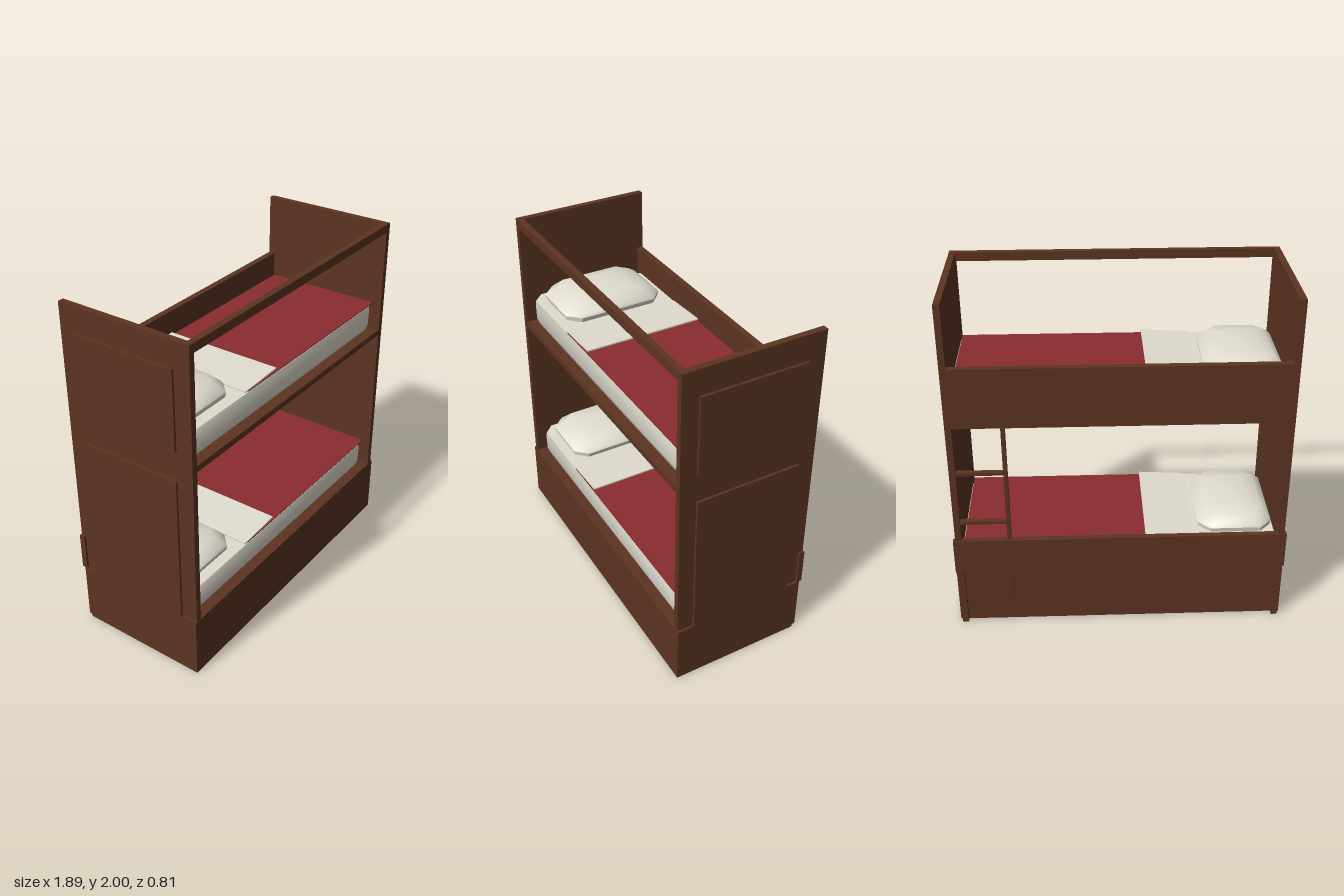
import * as THREE from 'three';
import { toCreasedNormals } from 'three/addons/utils/BufferGeometryUtils.js';

// Stack of corner-cut rectangles: each level is [y, halfX, halfZ, cornerCut]
function loft(levels, crease) {
  const pos = [], index = [], n = 8;
  for (const [y, hx, hz, c] of levels) {
    const ring = [
      [hx, -hz + c], [hx, hz - c], [hx - c, hz], [-hx + c, hz],
      [-hx, hz - c], [-hx, -hz + c], [-hx + c, -hz], [hx - c, -hz],
    ];
    for (const [x, z] of ring) pos.push(x, y, z);
  }
  const last = (levels.length - 1) * n;
  const bottom = levels.length * n, top = bottom + 1;
  pos.push(0, levels[0][0], 0, 0, levels[levels.length - 1][0], 0);
  for (let j = 0; j < n; j++) {
    const k = (j + 1) % n;
    for (let r = 0; r < last; r += n) {
      index.push(r + j, r + n + j, r + k, r + k, r + n + j, r + n + k);
    }
    index.push(bottom, j, k, top, last + k, last + j);
  }
  const g = new THREE.BufferGeometry();
  g.setAttribute('position', new THREE.Float32BufferAttribute(pos, 3));
  g.setIndex(index);
  return toCreasedNormals(g, crease);
}

export function createModel() {
  const wood = new THREE.MeshStandardMaterial({ color: 0x5c3422 });
  const linen = new THREE.MeshStandardMaterial({ color: 0xe0dccf });
  const red = new THREE.MeshStandardMaterial({ color: 0x8a2c31 });
  wood.name = 'darkWood';
  linen.name = 'linen';
  red.name = 'redBlanket';

  const model = new THREE.Group();
  model.name = 'bunkBed';

  function add(parent, name, geometry, material) {
    const mesh = new THREE.Mesh(geometry, material);
    mesh.name = name;
    parent.add(mesh);
    return mesh;
  }
  // Box given by its minimum and maximum on each axis
  function box(parent, name, material, x0, x1, y0, y1, z0, z1) {
    const mesh = add(parent, name, new THREE.BoxGeometry(x1 - x0, y1 - y0, z1 - z0), material);
    mesh.position.set((x0 + x1) / 2, (y0 + y1) / 2, (z0 + z1) / 2);
    return mesh;
  }

  // End walls with raised outer panels
  for (const s of [-1, 1]) {
    const end = new THREE.Group();
    end.name = s > 0 ? 'leftEnd' : 'rightEnd';
    model.add(end);
    const slab = (name, xa, xb, y0, y1, z0, z1) =>
      box(end, name, wood, Math.min(s * xa, s * xb), Math.max(s * xa, s * xb), y0, y1, z0, z1);
    slab('endWall', 0.895, 0.93, 0, 2, -0.4, 0.4);
    slab('upperPanel', 0.93, 0.943, 1.405, 1.853, -0.305, 0.305);
    slab('lowerPanel', 0.93, 0.943, 0.36, 1.23, -0.305, 0.305);
    slab('basePanel', 0.93, 0.943, 0, 0.36, -0.37, 0.4);
  }

  // Boards and rails between the ends
  box(model, 'topFrontRail', wood, -0.895, 0.895, 1.95, 2, 0.365, 0.4);
  box(model, 'frontBaseBoard', wood, -0.943, 0.943, 0, 0.36, 0.37, 0.403);
  box(model, 'upperBackBoard', wood, -0.895, 0.895, 1.3, 1.645, -0.4, -0.363);
  box(model, 'lowerBackBoard', wood, -0.943, 0.943, 0.36, 0.58, -0.404, -0.37);
  box(model, 'backBasePanel', wood, -0.895, 0.895, 0, 0.36, -0.37, -0.34);

  // Ladder at the back
  const ladder = new THREE.Group();
  ladder.name = 'ladder';
  model.add(ladder);
  box(ladder, 'ladderStile', wood, 0.615, 0.638, 0.14, 1.3, -0.39, -0.36);
  for (const y of [0.693, 1.011]) {
    box(ladder, 'ladderRung', wood, 0.638, 0.895, y - 0.009, y + 0.009, -0.39, -0.36);
  }

  // Two identical bunks
  const mattressShape = loft([
    [0, 0.86, 0.325, 0.05],
    [0.012, 0.882, 0.345, 0.055],
    [0.045, 0.893, 0.356, 0.06],
    [0.135, 0.894, 0.358, 0.06],
    [0.165, 0.892, 0.355, 0.06],
  ], 0.9);
  const pillowShape = loft([
    [0, 0.195, 0.285, 0.06],
    [0.008, 0.208, 0.297, 0.066],
    [0.035, 0.214, 0.302, 0.07],
    [0.05, 0.205, 0.292, 0.07],
    [0.093, 0.165, 0.235, 0.06],
    [0.112, 0.085, 0.14, 0.035],
    [0.119, 0.02, 0.04, 0.01],
  ], 0.7);

  for (const [name, y] of [['lowerBunk', 0.36], ['upperBunk', 1.335]]) {
    const bunk = new THREE.Group();
    bunk.name = name;
    bunk.position.y = y;
    model.add(bunk);
    box(bunk, 'platform', wood, -0.895, 0.895, -0.035, 0, -0.37, 0.4);
    add(bunk, 'mattress', mattressShape, linen);
    add(bunk, 'pillow', pillowShape, linen).position.set(-0.668, 0.165, 0);
    box(bunk, 'blanket', red, -0.4, 0.888, 0.163, 0.171, -0.353, 0.353);
    // Turned-back sheet, rising slightly towards the blanket
    const fold = box(bunk, 'foldedSheet', linen, -0.423, -0.145, 0.174, 0.182, -0.351, 0.351);
    fold.rotation.z = 0.055;
  }
  return model;
}
